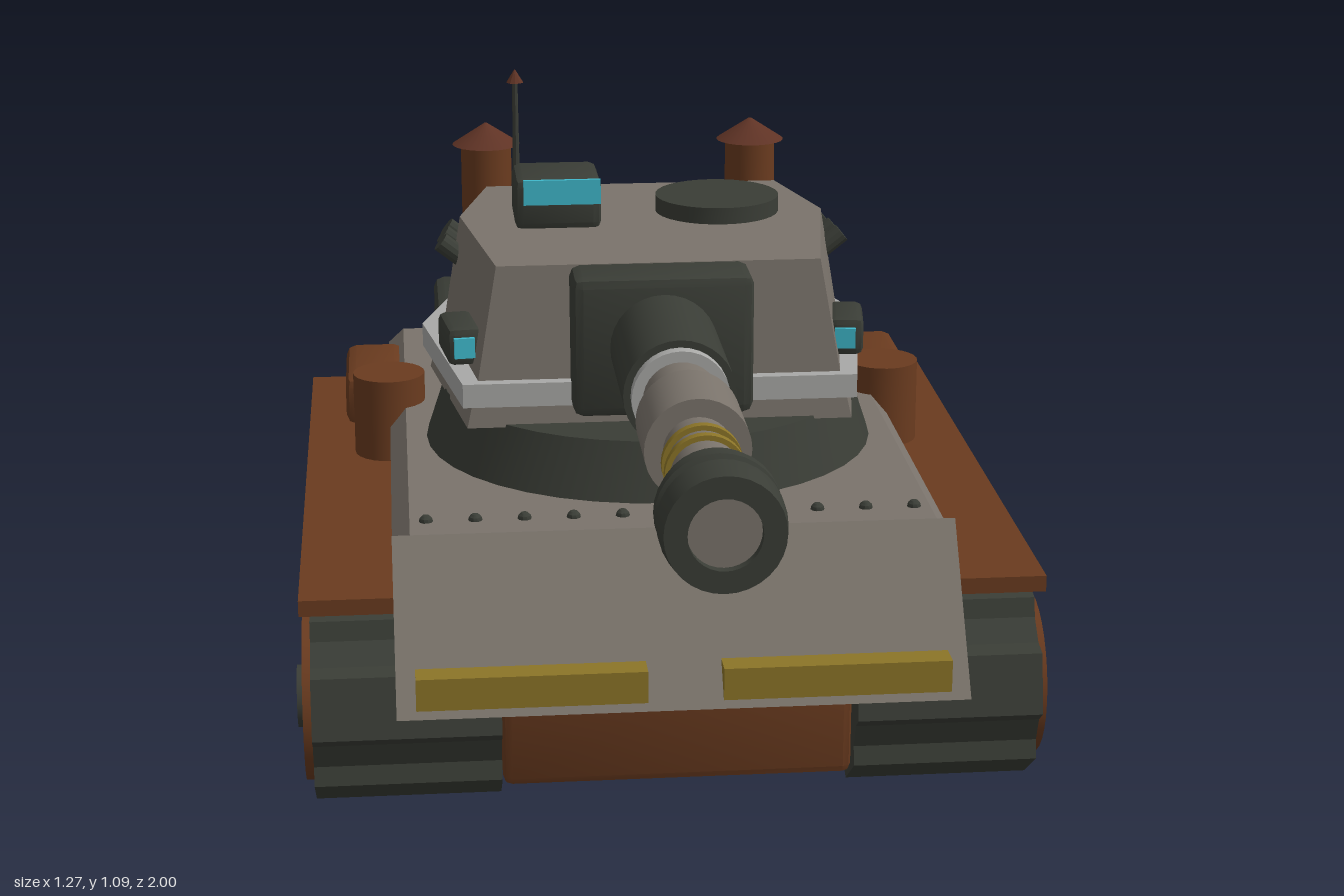
import * as THREE from 'three';
import { toCreasedNormals } from 'three/addons/utils/BufferGeometryUtils.js';
import { RoundedBoxGeometry } from 'three/addons/geometries/RoundedBoxGeometry.js';

const mat = (name, color) => Object.assign(new THREE.MeshStandardMaterial({ color }), { name });

// Stack of horizontal polygons [y, [[x, z], ...]] joined into a closed solid
function loft(rings) {
  const v = [], n = rings[0][1].length;
  const put = (k, i) => { const [y, p] = rings[k], q = p[i % n]; v.push(q[0], y, q[1]); };
  for (let k = 0; k < rings.length - 1; k++) for (let i = 0; i < n; i++) {
    put(k, i); put(k + 1, i); put(k, i + 1);
    put(k, i + 1); put(k + 1, i); put(k + 1, i + 1);
  }
  const t = rings.length - 1;
  for (let i = 1; i < n - 1; i++) {
    put(0, 0); put(0, i); put(0, i + 1);
    put(t, 0); put(t, i + 1); put(t, i);
  }
  return new THREE.BufferGeometry().setAttribute('position', new THREE.Float32BufferAttribute(v, 3));
}
const rect = (x, z0, z1) => [[x, z0], [x, z1], [-x, z1], [-x, z0]];
const hex = (fx, fz, mx, mz, bx, bz) => [[mx, mz], [fx, fz], [-fx, fz], [-mx, mz], [-bx, bz], [bx, bz]];

// Side profile of [z, y] points extruded across x
function sideExtrude(pts, x0, x1) {
  const shape = new THREE.Shape(pts.map(([z, y]) => new THREE.Vector2(-z, y)));
  return new THREE.ExtrudeGeometry(shape, { depth: x1 - x0, bevelEnabled: false })
    .rotateY(Math.PI / 2).translate(x0, 0, 0);
}

// Track outline: a stadium with raised lugs
function trackProfile() {
  const L = 1.03, R = 0.165, arc = Math.PI * R, T = 2 * (L + arc), n = 16, pts = [];
  const at = (s, r) => {
    const u = (s + T) % T;
    if (u < L) return [0.21 - u, 0.18 - r];
    if (u < L + arc) { const a = (u - L) / R; return [-0.82 - r * Math.sin(a), 0.18 - r * Math.cos(a)]; }
    if (u < 2 * L + arc) return [-0.82 + u - L - arc, 0.18 + r];
    const a = (u - 2 * L - arc) / R;
    return [0.21 + r * Math.sin(a), 0.18 + r * Math.cos(a)];
  };
  for (let i = 0; i < n; i++)
    for (const [f, r] of [[-0.25, 0.18], [0.25, 0.18], [0.37, 0.156], [0.63, 0.156]])
      pts.push(at(0.09 + (i + f) * T / n, r));
  return pts;
}

export function createModel() {
  const model = new THREE.Group();
  model.name = 'tank';
  const grey = mat('warm grey armour', 0x7a736b), light = mat('light grey trim', 0xa9a9a7);
  const dark = mat('dark green grey', 0x3a3d36), brown = mat('rust brown', 0x6a3b1f);
  const rust = mat('dark rust', 0x5f3325), gold = mat('dull gold', 0x8c7528), cyan = mat('cyan glass', 0x3fb9cc);

  const add = (name, geo, material, parent = model) => {
    const m = new THREE.Mesh(toCreasedNormals(geo, 0.5), material);
    m.name = name;
    parent.add(m);
    return m;
  };
  const box = (x0, x1, y0, y1, z0, z1, bevel = 0) => {
    const s = [x1 - x0, y1 - y0, z1 - z0];
    return (bevel ? new RoundedBoxGeometry(...s, 1, bevel) : new THREE.BoxGeometry(...s))
      .translate((x0 + x1) / 2, (y0 + y1) / 2, (z0 + z1) / 2);
  };
  const post = (x, z, r0, r1, y0, y1, seg = 24) =>
    new THREE.CylinderGeometry(r1, r0, y1 - y0, seg).translate(x, (y0 + y1) / 2, z);
  const axle = (y, z, r, x0, x1) =>
    new THREE.CylinderGeometry(r, r, x1 - x0, 32).rotateZ(Math.PI / 2).translate((x0 + x1) / 2, y, z);

  // Hull
  add('lowerHull', box(-0.295, 0.295, 0.05, 0.34, -0.955, 0.34, 0.015), brown);
  add('upperHull', loft([[0.3, rect(0.47, -0.95, 0.3)], [0.45, rect(0.47, -0.96, 0.3)],
    [0.485, rect(0.44, -0.935, 0.28)]]), grey);
  add('glacis', sideExtrude([[0.285, 0.487], [0.47, 0.237], [0.375, 0.237], [0.29, 0.36]], -0.47, 0.47), grey);
  add('rearBumper', box(-0.48, 0.48, 0.338, 0.366, -0.975, -0.9), light);
  for (let i = -5; i <= 5; i++)
    add('rivet', new THREE.SphereGeometry(0.012, 10, 6).translate(i * 0.0825, 0.485, 0.215), dark);

  // Engine deck with slats, hose and exhausts
  add('engineDeck', box(-0.375, 0.375, 0.48, 0.59, -0.965, -0.565, 0.02), dark);
  for (let i = 0; i < 6; i++) {
    const z = -0.91 + i * 0.055;
    add('deckSlat', box(-0.31, 0.31, 0.585, 0.6, z - 0.015, z + 0.015), dark);
  }
  const hose = new THREE.CatmullRomCurve3([[-0.18, 0.59, -0.66], [-0.18, 0.62, -0.7], [-0.155, 0.625, -0.75],
    [-0.165, 0.62, -0.79], [-0.155, 0.59, -0.82]].map(p => new THREE.Vector3(...p)));
  add('deckHose', new THREE.TubeGeometry(hose, 20, 0.012, 8), dark);

  // Running gear, fenders and stowage on both sides
  const track = trackProfile();
  for (const s of [1, -1]) {
    const span = (a, b) => s > 0 ? [a, b] : [-b, -a];
    add('track', sideExtrude(track, ...span(0.297, 0.61)), dark);
    for (const z of [0.21, -0.82]) {
      add('endWheel', axle(0.175, z, 0.142, ...span(0.58, 0.625)), brown);
      add('wheelHub', axle(0.175, z, 0.053, ...span(0.6, 0.637)), dark);
    }
    for (const z of [-0.047, -0.303, -0.558])
      add('roadWheel', axle(0.175, z, 0.092, ...span(0.58, 0.622)), brown);
    add('fender', box(...span(0.45, 0.627), 0.355, 0.383, -0.945, 0.3), brown);
    add('stowageBox', box(...span(0.44, 0.555), 0.38, 0.478, -0.87, -0.62, 0.02), brown);
    add('drum', post(s * 0.47, -0.465, 0.067, 0.067, 0.38, 0.538), brown);
    add('frontBar', box(...span(0.062, 0.438), 0.25, 0.305, 0.4, 0.465), gold);
    add('exhaust', post(s * 0.265, -0.9, 0.05, 0.05, 0.58, 0.88), brown);
    add('exhaustCap', post(s * 0.265, -0.9, 0.067, 0.003, 0.875, 0.917), rust);
  }

  // Turret body
  const turret = new THREE.Group();
  turret.name = 'turret';
  model.add(turret);
  add('turretRing', post(0, -0.24, 0.405, 0.37, 0.48, 0.585, 40), dark, turret);
  add('turretSkirt', loft([[0.58, hex(0.335, 0.015, 0.392, -0.36, 0.3, -0.645)],
    [0.625, hex(0.325, 0.01, 0.38, -0.36, 0.295, -0.635)]]), grey, turret);
  add('turretRim', loft([[0.62, hex(0.342, 0.025, 0.405, -0.36, 0.312, -0.67)],
    [0.662, hex(0.342, 0.025, 0.405, -0.36, 0.312, -0.67)]]), light, turret);
  add('turretBody', loft([[0.65, hex(0.317, 0.005, 0.367, -0.365, 0.295, -0.627)],
    [0.86, hex(0.28, -0.015, 0.332, -0.37, 0.275, -0.598)]]), grey, turret);

  // Roof fittings
  add('hatch', post(0.14, -0.38, 0.113, 0.113, 0.855, 0.89, 32), dark, turret);
  add('sightBox', box(-0.235, -0.08, 0.855, 0.95, -0.415, -0.265, 0.015), dark, turret);
  add('sightGlass', box(-0.22, -0.082, 0.905, 0.95, -0.266, -0.258), cyan, turret);
  add('antenna', post(-0.22, -0.555, 0.007, 0.005, 0.855, 1.075, 8), dark, turret);
  add('antennaTip', post(-0.22, -0.555, 0.016, 0.001, 1.068, 1.092, 10), rust, turret);

  // Side sights and smoke launchers
  for (const s of [1, -1]) {
    const sight = new THREE.Group();
    sight.name = 'sideSight';
    sight.position.set(s * 0.342, 0.705, -0.115);
    sight.rotation.y = -s * 0.13;
    turret.add(sight);
    add('sideSightBox', box(-0.03, 0.03, -0.034, 0.034, -0.062, 0.06, 0.012), dark, sight);
    add('sideSightGlass', box(-0.02, 0.016, -0.018, 0.018, 0.06, 0.068), cyan, sight);
    for (const z of [-0.35, -0.407, -0.462]) {
      const tube = add('smokeLauncher', new THREE.CylinderGeometry(0.018, 0.018, 0.06, 12), dark, turret);
      tube.position.set(s * (0.345 + Math.min(0, z + 0.37) * -0.25 - Math.max(0, -0.37 - z) * 0.4), 0.8, z);
      tube.rotation.z = -s * 0.9;
    }
  }

  // Gun: [name, z0, z1, radius, material]
  const gun = new THREE.Group();
  gun.name = 'gun';
  gun.position.set(0, 0.737, 0);
  turret.add(gun);
  add('mantlet', box(-0.155, 0.155, -0.125, 0.122, -0.05, 0.08, 0.018), dark, gun);
  for (const [name, z0, z1, r, m] of [
    ['gunSleeve', 0.06, 0.35, 0.092, dark], ['sleeveRing', 0.345, 0.372, 0.08, light],
    ['barrel', 0.36, 0.985, 0.054, grey], ['barrelBase', 0.365, 0.49, 0.062, grey],
    ['boreEvacuator', 0.48, 0.63, 0.083, grey],
    ['barrelBand', 0.68, 0.695, 0.062, gold], ['barrelBand', 0.727, 0.742, 0.062, gold],
  ]) add(name, new THREE.CylinderGeometry(r, r, z1 - z0, 32).rotateX(Math.PI / 2).translate(0, 0, (z0 + z1) / 2), m, gun);
  const muzzle = [[0.05, 0.865], [0.085, 0.865], [0.085, 0.89], [0.093, 0.895], [0.093, 0.915], [0.085, 0.92],
    [0.085, 0.935], [0.093, 0.94], [0.093, 0.965], [0.088, 1], [0.054, 1], [0.054, 0.97]];
  add('muzzleBrake', new THREE.LatheGeometry(muzzle.map(p => new THREE.Vector2(...p)), 32).rotateX(Math.PI / 2), dark, gun);

  return model;
}
